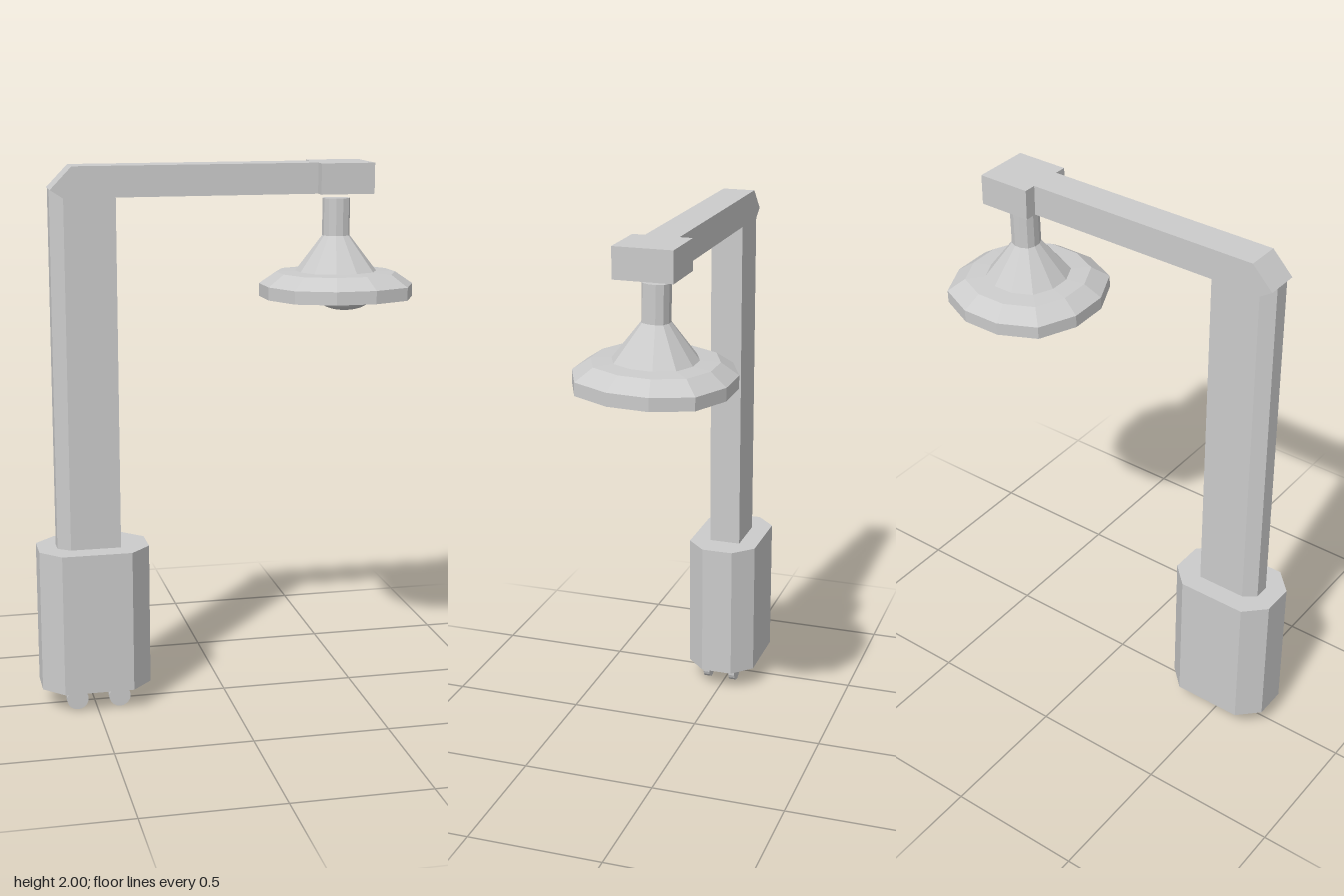
import * as THREE from 'three';

const grey = new THREE.MeshStandardMaterial({ color: 0xcccccc, flatShading: true });
const smooth = new THREE.MeshStandardMaterial({ color: 0xcccccc });

function part(name, geometry, material = grey) {
  const mesh = new THREE.Mesh(geometry, material);
  mesh.name = name;
  return mesh;
}

function extrude(points, depth) {
  const shape = new THREE.Shape(points.map(([x, y]) => new THREE.Vector2(x, y)));
  return new THREE.ExtrudeGeometry(shape, { depth, bevelEnabled: false });
}

// Upright prism from a plan outline of [x, z] points
function prism(plan, y0, y1) {
  return extrude(plan.map(([x, z]) => [x, -z]), y1 - y0).rotateX(-Math.PI / 2).translate(0, y0, 0);
}

// Twelve-sided turned shape with flats facing the axes, slightly fuller on the diagonals
function turned(profile, x) {
  const g = new THREE.LatheGeometry(profile.map(([r, y]) => new THREE.Vector2(r, y)), 12, Math.PI / 12);
  const p = g.attributes.position;
  for (let i = 0; i < p.count; i++) {
    const angle = Math.atan2(p.getZ(i), p.getX(i));
    const k = 1 + 0.05 * Math.pow(Math.sin(2 * angle), 8);
    p.setXYZ(i, p.getX(i) * k, p.getY(i), p.getZ(i) * k);
  }
  const flat = g.toNonIndexed();
  flat.computeVertexNormals();
  return flat.translate(x, 0, 0);
}

export function createModel() {
  const model = new THREE.Group();
  model.name = 'lampStand';

  // Base cabinet with chamfered corners
  model.add(part('base', prism([
    [-0.70, -0.057], [-0.626, -0.13], [-0.37, -0.13], [-0.296, -0.057],
    [-0.296, 0.064], [-0.37, 0.14], [-0.626, 0.14], [-0.70, 0.064],
  ], 0.085, 0.615)));

  // Post, chamfered along its rear edges
  model.add(part('post', prism([
    [-0.63, -0.025], [-0.584, -0.057], [-0.40, -0.057],
    [-0.40, 0.064], [-0.584, 0.064], [-0.63, 0.032],
  ], 0.6, 1.92)));

  // Arm with a mitred elbow
  model.add(part('arm', extrude([
    [-0.63, 1.92], [-0.584, 1.89], [0.34, 1.89], [0.34, 2], [-0.553, 2],
  ], 0.121).translate(0, 0, -0.057)));

  // Block at the end of the arm
  model.add(part('armEnd', new THREE.BoxGeometry(0.197, 0.11, 0.212).translate(0.43, 1.945, 0.003)));

  // Lamp head, tilted a little
  const lamp = new THREE.Group();
  lamp.name = 'lampHead';
  const tilt = new THREE.Group();
  tilt.position.set(0.42, 1.55, 0);
  tilt.rotation.x = -0.025;
  tilt.name = 'tiltedHead';
  lamp.add(tilt);
  tilt.add(part('shade', turned([
    [0, -0.04], [0.281, -0.04], [0.281, 0.007], [0.218, 0.05],
    [0.148, 0.054], [0.05, 0.183], [0.05, 0.318], [0, 0.318],
  ], 0)));

  // Three bulging lights below the shade
  for (let i = 0; i < 3; i++) {
    const a = i * Math.PI * 2 / 3;
    const bulb = part('bulb', new THREE.SphereGeometry(1, 20, 12), smooth);
    bulb.scale.set(0.092, 0.038, 0.092);
    bulb.position.set(Math.sin(a) * 0.115, -0.038, Math.cos(a) * 0.115);
    tilt.add(bulb);
  }
  model.add(lamp);

  // Four small wheels
  for (const x of [-0.573, -0.415]) {
    for (const z of [0.071, -0.036]) {
      const wheel = part('wheel', new THREE.CylinderGeometry(0.04, 0.04, 0.025, 18).rotateX(Math.PI / 2));
      wheel.position.set(x, 0.0425, z);
      model.add(wheel);
      // Short fork joining the wheel to the base
      const fork = part('wheelFork', new THREE.BoxGeometry(0.015, 0.03, 0.015));
      fork.position.set(x, 0.078, z);
      model.add(fork);
    }
  }
  return model;
}
